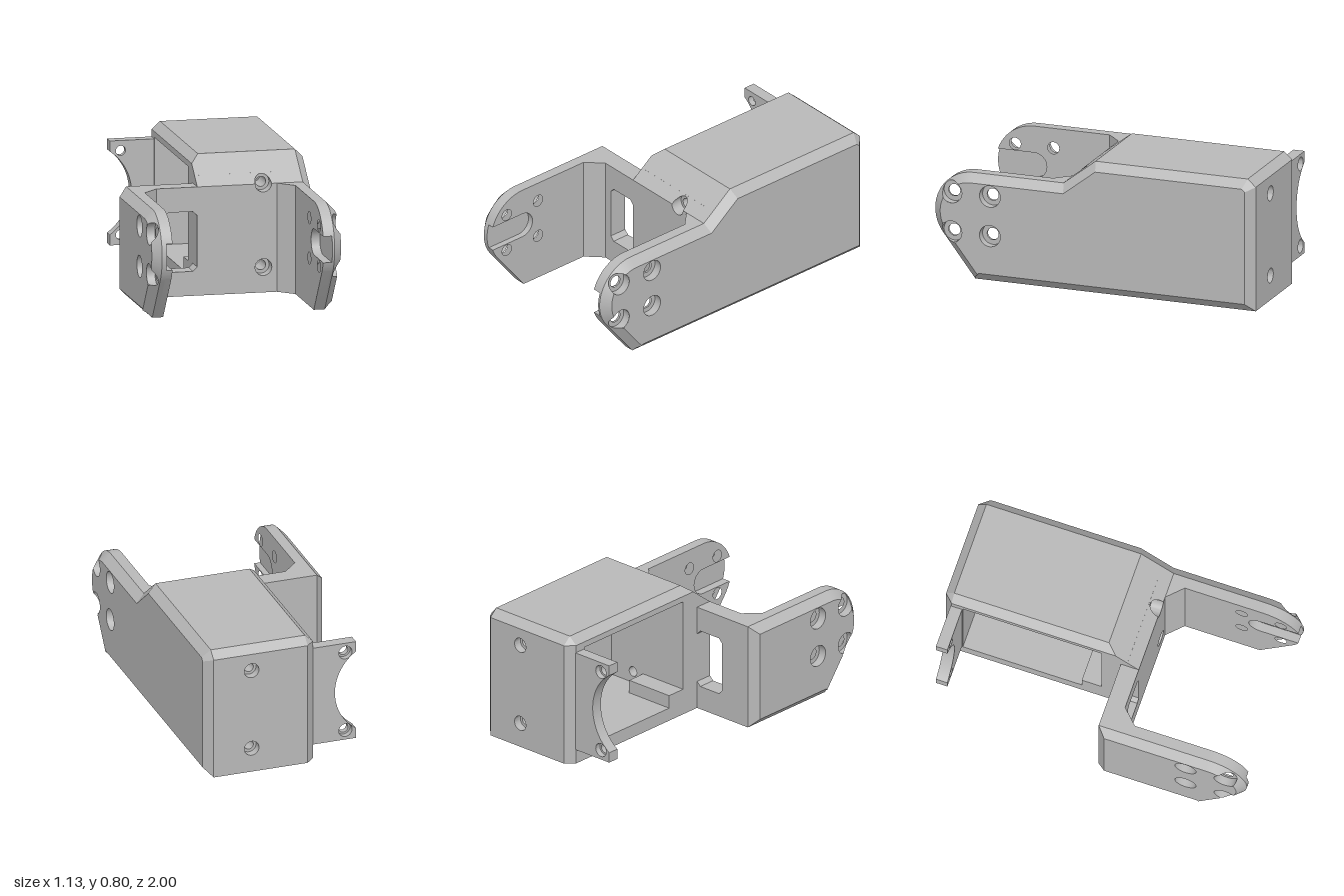
import * as THREE from 'three';
import { mergeGeometries, toCreasedNormals } from 'three/addons/utils/BufferGeometryUtils.js';
import { ConvexGeometry } from 'three/addons/geometries/ConvexGeometry.js';

const V2 = (x, y) => new THREE.Vector2(x, y);

// Points along an arc
function arc(cx, cy, r, a0, a1, n) {
  return Array.from({ length: n + 1 }, (_, i) => {
    const a = a0 + (a1 - a0) * i / n;
    return V2(cx + r * Math.cos(a), cy + r * Math.sin(a));
  });
}
const circle = (x, y, r) => arc(x, y, r, 0, Math.PI * 2, 32).slice(0, -1);

function shapeOf(points, holes = []) {
  const s = new THREE.Shape(points);
  s.holes = holes.map(h => new THREE.Path(h));
  return s;
}
const extrude = (shape, depth) => new THREE.ExtrudeGeometry(shape, { depth, bevelEnabled: false });

// Merge pieces, optionally mirror across x, and keep edges crisp
function finish(parts, mirrored = false) {
  const g = mergeGeometries(parts.map(p => {
    const q = p.index ? p.toNonIndexed() : p;
    const out = new THREE.BufferGeometry();
    out.setAttribute('position', q.attributes.position);
    return out;
  }));
  if (mirrored) {
    const p = g.attributes.position, a = new THREE.Vector3(), b = new THREE.Vector3();
    g.scale(-1, 1, 1);
    for (let i = 0; i < p.count; i += 3) {
      a.fromBufferAttribute(p, i + 1);
      b.fromBufferAttribute(p, i + 2);
      p.setXYZ(i + 1, b.x, b.y, b.z);
      p.setXYZ(i + 2, a.x, a.y, a.z);
    }
  }
  g.computeVertexNormals();
  return toCreasedNormals(g, 0.45);
}

// Outline in (x, y) extruded along z, with an optional vertex rule
function slabZ(points, holes, z0, z1, rule) {
  const g = extrude(shapeOf(points, holes), z1 - z0).translate(0, 0, z0);
  if (rule) {
    const p = g.attributes.position, v = new THREE.Vector3();
    for (let i = 0; i < p.count; i++) {
      rule(v.fromBufferAttribute(p, i));
      p.setXYZ(i, v.x, v.y, v.z);
    }
  }
  return g;
}
const rect = (x0, y0, x1, y1) => [V2(x0, y0), V2(x1, y0), V2(x1, y1), V2(x0, y1)];
const box = (x0, x1, y0, y1, z0, z1) => slabZ(rect(x0, y0, x1, y1), [], z0, z1);

// Outline in (z, y), turned to face +x
const side = pts => pts.map(p => V2(-p.x, p.y));
const slabX = (pts, holes, x0, x1) =>
  extrude(shapeOf(side(pts), holes.map(side)), x1 - x0).rotateY(Math.PI / 2).translate(x0, 0, 0);

// Closed strip between two loops of [x, y, z]
function strip(lo, up) {
  const out = [];
  lo.forEach((a, i) => {
    const j = (i + 1) % lo.length;
    out.push(...a, ...lo[j], ...up[j], ...a, ...up[j], ...up[i]);
  });
  return new THREE.BufferGeometry().setAttribute('position', new THREE.Float32BufferAttribute(out, 3));
}

// Rounded arm end
const C = V2(0.76, 0.405), R = 0.24, LOW = -0.633;
const IN = 0.45, MID = 0.515, BEVEL = 0.05, BORE = 0.065;

// Distance of a point from the rounded end's edge
function edgeDepth(p) {
  const d = p.clone().sub(C);
  const a = Math.min(Math.PI / 2, Math.max(LOW, Math.atan2(d.y, d.x)));
  return R - (d.x * Math.cos(a) + d.y * Math.sin(a));
}

// Side plate with bevelled outer edge, counterbored holes and an inner slot
function sidePlate(rest, slotDepth, mirrored) {
  const start = V2(0.75, 0), tangent = arc(C.x, C.y, R, LOW, LOW, 1)[0];
  const diagonal = Array.from({ length: 28 }, (_, i) => start.clone().lerp(tangent, i / 28));
  const tail = rest.map(p => V2(...p));
  const outline = [...diagonal, ...arc(C.x, C.y, R, LOW, Math.PI / 2, 60), ...tail];
  const w = 0.078, sa = Math.asin(w / R);
  const slotted = [start, ...arc(C.x, C.y, R, LOW, -sa, 10),
    ...arc(C.x, C.y, w, -Math.PI / 2, -Math.PI * 1.5, 16),
    ...arc(C.x, C.y, R, sa, Math.PI / 2, 28), ...tail];
  const front = [V2(0.88, 0.285), V2(0.88, 0.525)], rear = [V2(0.64, 0.285), V2(0.64, 0.525)];
  const screwHoles = [...front, ...rear].map(c => circle(c.x, c.y, 0.036));

  // Inset outline, stopped early where a front counterbore cuts the bevel
  const n = outline.length;
  const inset = outline.map((p, i) => {
    const e1 = p.clone().sub(outline[(i + n - 1) % n]).normalize();
    const e2 = outline[(i + 1) % n].clone().sub(p).normalize();
    const off = V2(-e1.y - e2.y, e1.x + e2.x).multiplyScalar(BEVEL / (1 + e1.dot(e2)));
    for (let t = 0; t <= 1; t += 0.02) {
      const q = p.clone().addScaledVector(off, t);
      const cut = front.find(c => q.distanceTo(c) < BORE);
      if (cut) return { q, t, cut };
    }
    return { q: p.clone().add(off), t: 1, cut: null };
  });

  // Outer face follows the counterbore where it breaks the edge
  const face = [];
  inset.forEach((s, i) => {
    if (!s.cut) return face.push(s.q);
    if (inset[i - 1].cut) return;
    const next = inset.slice(i).find(k => !k.cut).q, prev = inset[i - 1].q, c = s.cut;
    const a0 = Math.atan2(prev.y - c.y, prev.x - c.x);
    let a1 = Math.atan2(next.y - c.y, next.x - c.x);
    if (a1 > a0) a1 -= Math.PI * 2;
    face.push(...arc(c.x, c.y, BORE, a0, a1, 24).slice(1, -1));
  });
  const cap = new THREE.ShapeGeometry(shapeOf(side(face), rear.map(c => side(circle(c.x, c.y, BORE)))))
    .rotateY(Math.PI / 2).translate(MID + BEVEL, 0, 0);
  const bevel = strip(outline.map(p => [MID, p.y, p.x]).reverse(),
    inset.map(s => [MID + BEVEL * s.t, s.q.y, s.q.x]).reverse());
  const bores = [...front, ...rear].map(c => {
    const ring = circle(c.x, c.y, BORE);
    return strip(ring.map(p => [MID, p.y, p.x]),
      ring.map(p => [MID + Math.max(0, Math.min(BEVEL, edgeDepth(p))), p.y, p.x]));
  });
  return finish([slabX(slotted, screwHoles, IN, IN + slotDepth),
    slabX(outline, screwHoles, IN + slotDepth, MID), bevel, cap, ...bores], mirrored);
}

export function createModel() {
  const model = new THREE.Group();
  model.name = 'servoBracket';
  const grey = new THREE.MeshStandardMaterial({ color: 0xb8b8b8 });
  grey.name = 'grey plastic';
  const add = (name, geo) => {
    const m = new THREE.Mesh(geo, grey);
    m.name = name;
    model.add(m);
  };

  // Long side plate and short fork arm
  add('leftSidePlate', sidePlate([[0.2, 0.645], [0, 0.8], [-0.95, 0.8], [-1, 0.755], [-1, 0]], 0.052, false));
  add('rightArm', sidePlate([[0.09, 0.645], [0.09, 0]], 0.036, true));

  // Corner gussets between the arms and the cross wall
  const gusset = () => new ConvexGeometry([0, 0.645].flatMap(y =>
    [[0.36, 0.2], [0.45, 0.2], [0.45, 0.29]].map(([x, z]) => new THREE.Vector3(x, y, z))));
  add('leftGusset', finish([gusset()]));
  add('rightGusset', finish([gusset()], true));

  // Cross wall with a cable window
  const c = 0.025, [wx0, wx1, wy0, wy1] = [-0.312, -0.116, 0.145, 0.5];
  const cableWindow = [V2(wx0 + c, wy0), V2(wx1 - c, wy0), V2(wx1, wy0 + c), V2(wx1, wy1 - c),
    V2(wx1 - c, wy1), V2(wx0 + c, wy1), V2(wx0, wy1 - c), V2(wx0, wy0 + c)];
  add('crossWall', finish([slabZ(rect(-0.45, 0, -0.11, 0.645), [cableWindow], 0.09, 0.2)]));

  // Front wall of the housing, with counterbored holes and the start of the ramp
  const X0 = -0.115, X1 = IN, hx = 0.28, r = 0.049, ry = 0.645;
  const ramp = v => { if (v.z > 0.15) v.z = 0.2 - (v.y - ry) / 0.775; };
  add('frontWall', finish([
    slabZ([V2(X0, 0), V2(X1, 0), V2(X1, ry), ...arc(hx, ry, r, 0, -Math.PI, 16), V2(X0, ry)],
      [circle(hx, 0.15, 0.05)], 0.13, 0.2),
    slabZ([V2(X0, ry), ...arc(hx, ry, r, Math.PI, 0, 16), V2(X1, ry), V2(X1, 0.699), V2(X0, 0.699)],
      [], 0.13, 0.2, ramp),
    slabZ(rect(X0, 0, X1, 0.699), [circle(hx, 0.15, 0.03), circle(hx, ry, 0.03)], -0.03, 0.13),
    new ConvexGeometry([X0, X1].flatMap(x => [[0.699, -0.03], [0.699, 0.13], [0.755, 0.058], [0.755, -0.03]]
      .map(([y, z]) => new THREE.Vector3(x, y, z)))),
  ]));

  // Roof with bevelled edges
  const roof = [[X0, 0.72, -0.95], [X0, 0.755, -0.95], [-0.065, 0.8, -0.95], [-0.065, 0.755, -1], [-0.065, 0.72, -1],
    [X0, 0.72, 0.058], [X0, 0.755, 0.058], [-0.065, 0.8, 0], [X1, 0.8, 0], [X1, 0.755, 0.058], [X1, 0.72, 0.058],
    [X1, 0.8, -0.95], [X1, 0.755, -1], [X1, 0.72, -1]];
  add('roof', finish([new ConvexGeometry(roof.map(p => new THREE.Vector3(...p)))]));

  // Floor and inner ledge
  add('floor', finish([box(X0, X1, 0, 0.08, -0.88, -0.03)]));
  add('innerLedge', finish([box(X0, 0.2, 0.08, 0.16, -0.15, -0.03)]));

  // Back wall with screw holes and a bevelled open-side edge
  const backHoles = rad => [0.15, 0.65].map(y => circle(hx, y, rad));
  add('backWall', finish([
    slabZ(rect(X0, 0, X1, 0.72), backHoles(0.028), -0.95, -0.88),
    slabZ(rect(-0.065, 0, X1, 0.72), backHoles(0.045), -1, -0.95,
      v => { if (v.z > -0.97 && v.x < -0.06) v.x = X0; }),
  ]));

  // Mounting tab with a round cut-out and two counterbored holes
  const ta = Math.acos(0.17 / 0.3);
  const tab = [V2(X0, 0.09), V2(X0, 0.71), V2(-0.38, 0.71), ...arc(-0.55, 0.4, 0.3, ta, -ta, 32), V2(-0.38, 0.09)];
  const tabHoles = rad => [0.15, 0.65].map(y => circle(-0.315, y, rad));
  add('mountingTab', finish([slabZ(tab, tabHoles(0.041), -0.955, -0.92), slabZ(tab, tabHoles(0.029), -0.92, -0.885)]));

  return model;
}
